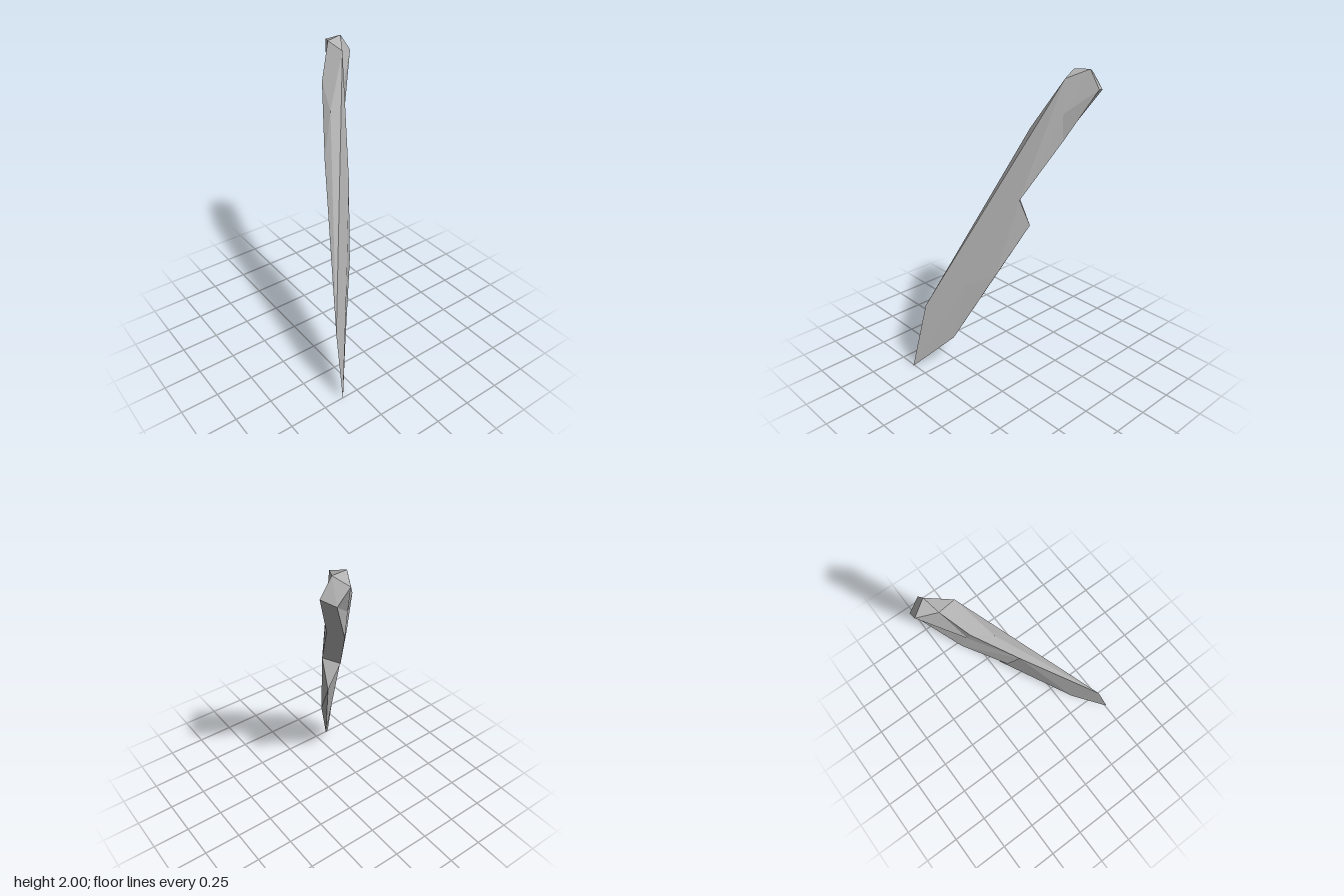
import * as THREE from 'three';

// Named corners of the chipped stone knife
const corners = {
  tip: [-0.37, 0, 0.51], spineFoot: [-0.34, 0.45, 0.4], edgeFoot: [-0.19, 0.22, 0.29],
  bevel: [0, 0.69, 0.08], heel: [0.1, 1.02, -0.13],
  notchFront: [0.085, 1.21, -0.05], notchBack: [0.005, 1.18, -0.13],
  gripFront: [0.22, 1.57, -0.28], gripBack: [0.14, 1.53, -0.34],
  bladeRidge: [-0.13, 0.62, 0.22], handleRidge: [0.215, 1.74, -0.28], backRidge: [0.1, 1.67, -0.31],
  spineMid: [0.04, 1.64, -0.18], spineBack: [-0.07, 1.37, -0.09], shoulder: [0.07, 1.78, -0.31],
  endTop: [0.29, 2, -0.42], endFront: [0.21, 1.95, -0.29], endSpine: [0.18, 1.99, -0.4],
  endBack: [0.24, 1.96, -0.51], endLow: [0.32, 1.87, -0.505], endEdge: [0.365, 1.89, -0.42],
};

// Each facet group is a list of fans: a hub followed by its rim, anticlockwise from outside
const parts = {
  bladeFront: [
    'bladeRidge tip edgeFoot bevel notchFront endFront spineFoot tip',
    'bevel heel notchFront',
  ],
  cuttingEdge: ['bevel edgeFoot heel'],
  heelNotch: ['notchFront heel notchBack'],
  bladeBack: [
    'spineBack gripBack notchBack heel edgeFoot spineFoot',
    'edgeFoot tip spineFoot',
  ],
  spine: [
    'endFront endSpine shoulder spineMid spineFoot',
    'spineBack spineFoot spineMid shoulder',
  ],
  handleFront: ['handleRidge endFront notchFront gripFront endEdge endTop endFront'],
  handleUnderside: [
    'gripFront notchFront notchBack gripBack',
    'endEdge gripFront gripBack endLow',
  ],
  handleBack: ['backRidge spineBack shoulder endSpine endBack endLow gripBack spineBack'],
  handleEnd: ['endTop endEdge endLow endBack endSpine endFront'],
};

function facets(fans) {
  const points = [];
  for (const fan of fans) {
    const [hub, ...rim] = fan.split(' ');
    for (let i = 0; i < rim.length - 1; i++) {
      points.push(...corners[hub], ...corners[rim[i]], ...corners[rim[i + 1]]);
    }
  }
  const geometry = new THREE.BufferGeometry();
  geometry.setAttribute('position', new THREE.Float32BufferAttribute(points, 3));
  geometry.computeVertexNormals();
  return geometry;
}

export function createModel() {
  const knife = new THREE.Group();
  knife.name = 'stoneKnife';
  const stone = new THREE.MeshStandardMaterial({ color: 0xb4b4b4 });
  stone.name = 'grey stone';
  stone.flatShading = true;

  for (const [name, fans] of Object.entries(parts)) {
    const mesh = new THREE.Mesh(facets(fans), stone);
    mesh.name = name;
    knife.add(mesh);
  }
  return knife;
}
